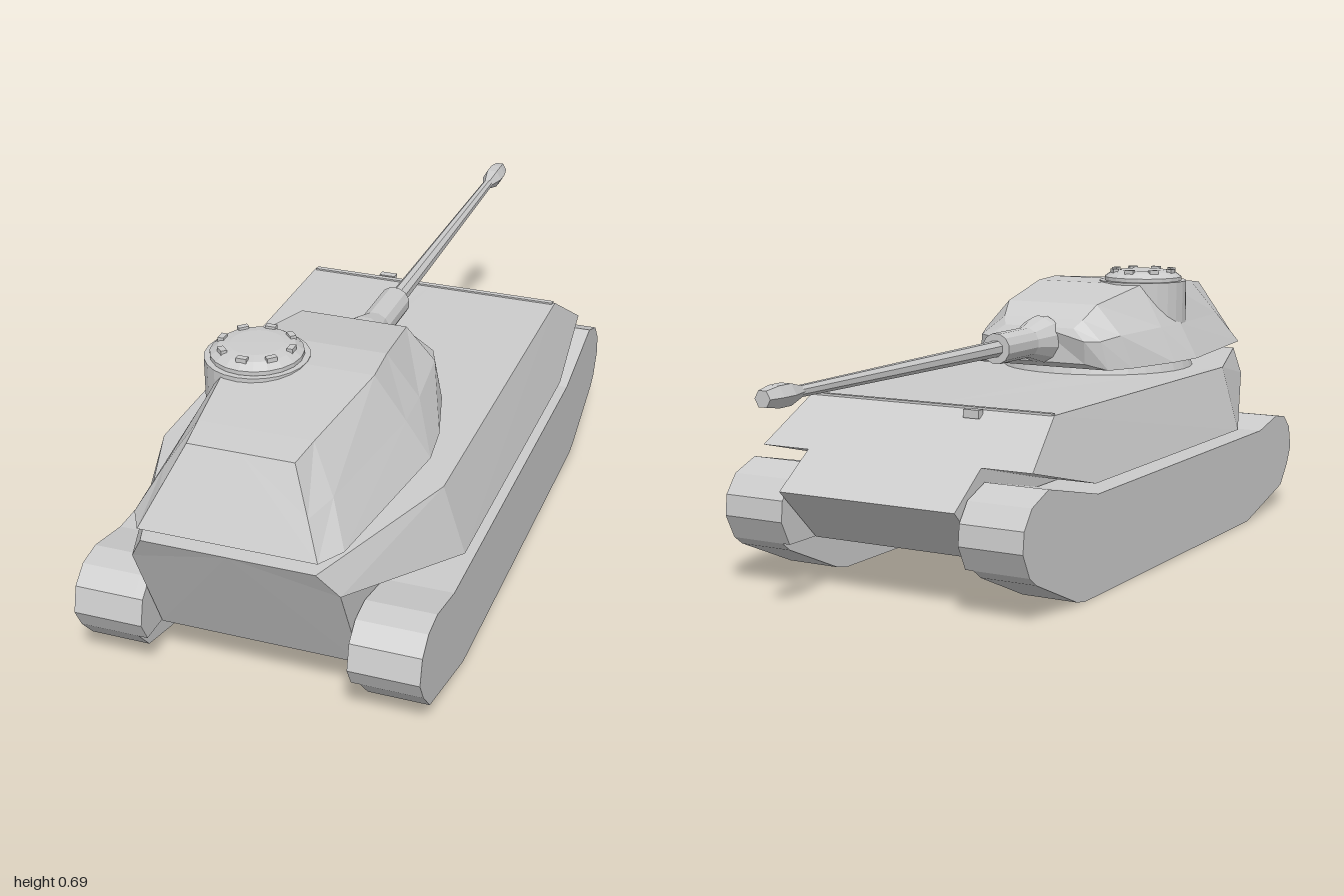
import * as THREE from 'three';

const grey = new THREE.MeshStandardMaterial({ color: 0xcccccc, flatShading: true });

// Solid from convex polygons given for the +x half, mirrored to -x
function mirroredSolid(faces) {
  const pos = [];
  for (const f of faces) {
    for (let i = 1; i < f.length - 1; i++) {
      const [a, b, c] = [f[0], f[i], f[i + 1]];
      pos.push(...a, ...b, ...c);
      for (const [x, y, z] of [a, c, b]) pos.push(-x, y, z);
    }
  }
  const g = new THREE.BufferGeometry();
  g.setAttribute('position', new THREE.Float32BufferAttribute(pos, 3));
  g.computeVertexNormals();
  return g;
}

const centre = ([, y, z]) => [0, y, z];

// Side profile of [z, y] points extruded from x0 to x1
function sideExtrude(points, x0, x1) {
  const shape = new THREE.Shape(points.map(([z, y]) => new THREE.Vector2(-z, y)));
  const g = new THREE.ExtrudeGeometry(shape, { depth: x1 - x0, bevelEnabled: false });
  return g.rotateY(Math.PI / 2).translate(x0, 0, 0);
}

// Lathe of [z, radius] points around the gun axis
function gunLathe(points, sides) {
  const g = new THREE.LatheGeometry(points.map(([z, r]) => new THREE.Vector2(r, -z)), sides, Math.PI / sides);
  return g.rotateX(-Math.PI / 2);
}

function hullGeometry() {
  const A = [0.335, 0.43, -0.37], B = [0.335, 0.427, 0.59], C = [0.195, 0.427, 1.0];  // deck edge
  const D = [0.365, 0.326, -0.525], E = [0.385, 0.26, -0.26];                         // sponson edge
  const F = [0.385, 0.26, 0.585], G = [0.235, 0.36, 0.965];
  const P = [0.235, 0.326, -0.525], Q = [0.235, 0.26, -0.26], R = [0.235, 0.26, 0.585]; // tub top
  const N = [0.235, 0.245, -0.64], J = [0.235, 0.112, -0.5], H = [0.235, 0.112, 0.85];  // tub bottom
  return mirroredSolid([
    [centre(A), centre(C), C, B, A],
    [centre(A), A, D, P, centre(P)], [centre(P), P, N, centre(N)],
    [A, B, F, E], [A, E, D], [B, C, G, F],
    [centre(C), centre(H), H, G, C],
    [F, G, R], [E, F, R, Q], [D, E, Q, P],
    [J, N, P, Q], [J, Q, R, H], [H, R, G],
    [centre(H), centre(J), J, H], [centre(N), N, J, centre(J)],
  ]);
}

function turretGeometry() {
  // Half sections from rear to nose: bottom, middle, roof edge
  const s = [
    [[0.2, 0.455, 1.0], [0.165, 0.53, 0.96], [0.12, 0.625, 0.91]],
    [[0.235, 0.455, 0.94], [0.19, 0.54, 0.88], [0.13, 0.634, 0.83]],
    [[0.285, 0.455, 0.53], [0.231, 0.545, 0.54], [0.165, 0.656, 0.56]],
    [[0.27, 0.455, 0.42], [0.225, 0.545, 0.43], [0.155, 0.653, 0.45]],
    [[0.225, 0.455, 0.26], [0.2, 0.54, 0.24], [0.13, 0.616, 0.24]],
    [[0.19, 0.455, 0.19], [0.175, 0.53, 0.175], [0.115, 0.58, 0.19]],
    [[0.135, 0.47, 0.165], [0.14, 0.53, 0.15], [0.1, 0.56, 0.168]],
  ];
  const faces = [];
  for (let i = 0; i < s.length - 1; i++) {
    const [rb, rm, rt] = s[i], [fb, fm, ft] = s[i + 1];
    faces.push([ft, rt, rm, fm], [fm, rm, rb, fb],
      [centre(ft), centre(rt), rt, ft], [centre(rb), centre(fb), fb, rb]);
  }
  const [rb, rm, rt] = s[0], [fb, fm, ft] = s[s.length - 1];
  faces.push([centre(rt), centre(rb), rb, rm, rt], [centre(ft), ft, fm, fb, centre(fb)]);
  return mirroredSolid(faces);
}

export function createModel() {
  const model = new THREE.Group();
  const add = (name, geometry, x = 0, y = 0, z = 0, parent = model) => {
    const m = new THREE.Mesh(geometry, grey);
    m.name = name;
    m.position.set(x, y, z);
    parent.add(m);
    return m;
  };

  add('hull', hullGeometry());
  add('deckLip', new THREE.BoxGeometry(0.66, 0.012, 0.014), 0, 0.428, -0.365);
  add('visionBlock', new THREE.BoxGeometry(0.042, 0.02, 0.02), -0.135, 0.422, -0.392);

  // Tracks: full profile outside, with a wider upper strip against the hull
  const track = [
    [-0.34, 0], [0.63, 0], [0.875, 0.06], [0.92, 0.112], [0.945, 0.16], [0.93, 0.22],
    [0.89, 0.255], [0.83, 0.265], [0.71, 0.24], [-0.275, 0.24], [-0.515, 0.293],
    [-0.59, 0.265], [-0.625, 0.22], [-0.63, 0.17], [-0.6, 0.112], [-0.57, 0.09], [-0.38, 0.008],
  ];
  const upper = track.filter(([, y]) => y > 0.1);
  for (const [side, sign] of [['left', 1], ['right', -1]]) {
    const span = (a, b) => (sign > 0 ? [a, b] : [-b, -a]);
    add(side + 'Track', sideExtrude(track, ...span(0.259, 0.4)));
    add(side + 'TrackInnerStrip', sideExtrude(upper, ...span(0.238, 0.259)));
  }

  // Turret and its ring
  add('turretRing', new THREE.CylinderGeometry(0.25, 0.26, 0.035, 32), 0, 0.44, 0.505);
  add('turret', turretGeometry());

  // Commander's cupola
  const cupola = new THREE.Group();
  cupola.name = 'cupola';
  cupola.position.set(-0.112, 0, 0.552);
  model.add(cupola);
  add('cupolaBase', new THREE.CylinderGeometry(0.118, 0.118, 0.157, 24), 0, 0.5785, 0, cupola);
  const dome = [[0.1, 0.65], [0.105, 0.658], [0.105, 0.667], [0.086, 0.681], [0.06, 0.685], [0, 0.686]];
  add('cupolaDome', new THREE.LatheGeometry(dome.map(([r, y]) => new THREE.Vector2(r, y)), 20), 0, 0, 0, cupola);
  for (let i = 0; i < 8; i++) {
    const a = (i * Math.PI) / 4;
    const block = add('periscope', new THREE.BoxGeometry(0.024, 0.013, 0.014),
      0.082 * Math.sin(a), 0.682, 0.082 * Math.cos(a), cupola);
    block.rotation.y = a;
  }

  // Gun: mantlet, sleeve, tapering barrel and muzzle brake
  const gun = new THREE.Group();
  gun.name = 'gun';
  gun.position.set(0, 0.526, 0);
  model.add(gun);
  add('mantlet', gunLathe([[0.19, 0], [0.185, 0.062], [0.165, 0.06], [0.09, 0.037], [0.08, 0]], 12), 0, 0, 0, gun);
  add('sleeve', gunLathe([[0.1, 0.039], [-0.055, 0.039], [-0.055, 0]], 12), 0, 0, 0, gun);
  add('barrel', gunLathe([[-0.05, 0.021], [-0.5, 0.017], [-0.9, 0.013]], 8), 0, 0, 0, gun);
  add('muzzleBrake', gunLathe([[-0.87, 0.013], [-0.92, 0.027], [-0.96, 0.027], [-1, 0.02], [-1, 0]], 6), 0, 0, 0, gun);

  return model;
}
